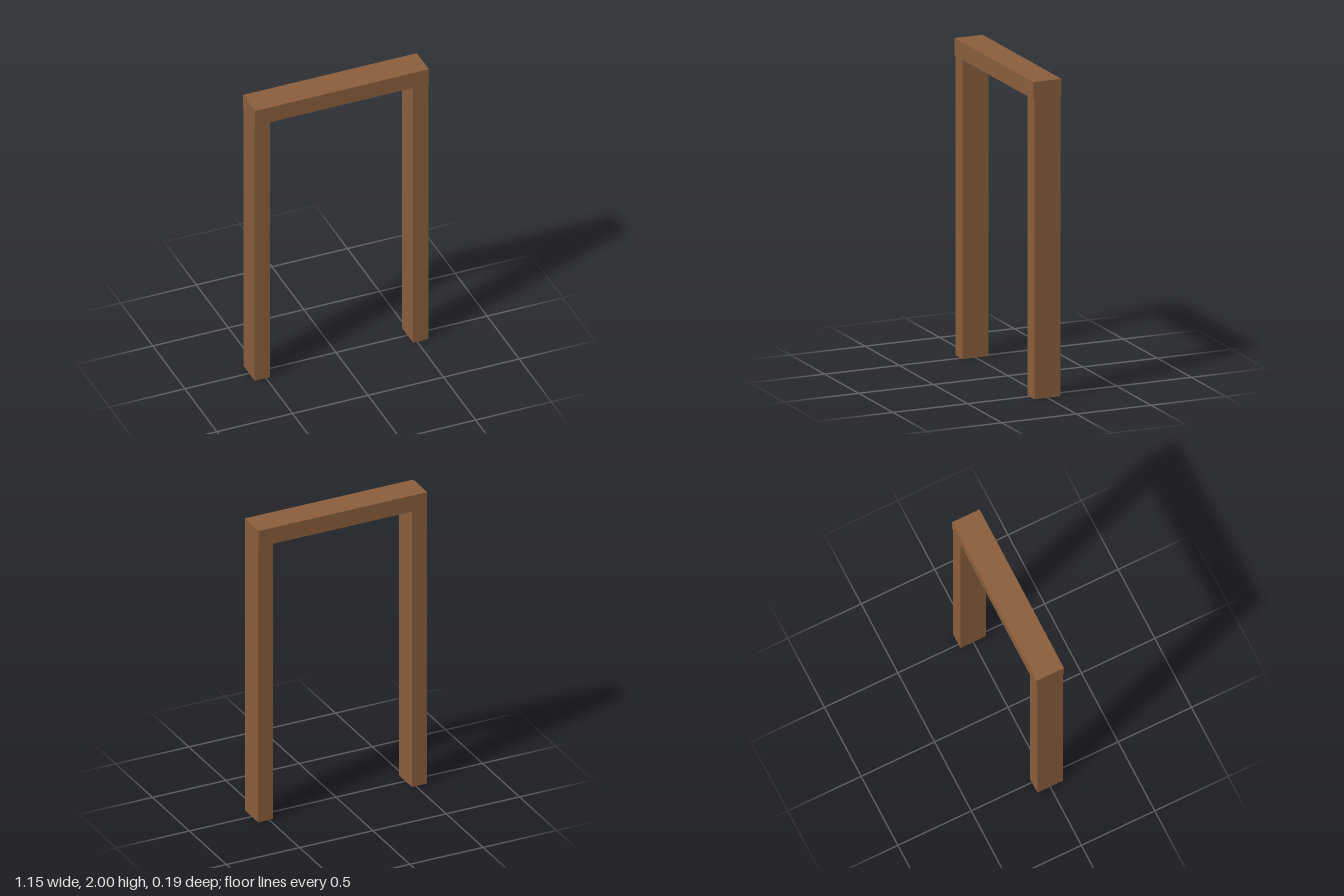
import * as THREE from 'three';

export function createModel() {
  const group = new THREE.Group();
  group.name = 'doorFrame';
  const wood = new THREE.MeshStandardMaterial({ color: 0x8b5e3c });

  const width = 1.15, height = 2, beamHeight = 0.11, beamDepth = 0.188;
  const postWidth = 0.102, postDepth = 0.175, postHeight = height - beamHeight;

  const addBox = (name, w, h, d, x, y) => {
    const mesh = new THREE.Mesh(new THREE.BoxGeometry(w, h, d), wood);
    mesh.name = name;
    mesh.position.set(x, y, 0);
    group.add(mesh);
  };

  // Two upright posts, flush with the ends of the lintel
  for (const [name, side] of [['leftPost', 1], ['rightPost', -1]]) {
    addBox(name, postWidth, postHeight, postDepth, side * (width - postWidth) / 2, postHeight / 2);
  }

  // Lintel, slightly deeper than the posts
  addBox('lintel', width, beamHeight, beamDepth, 0, height - beamHeight / 2);

  return group;
}
